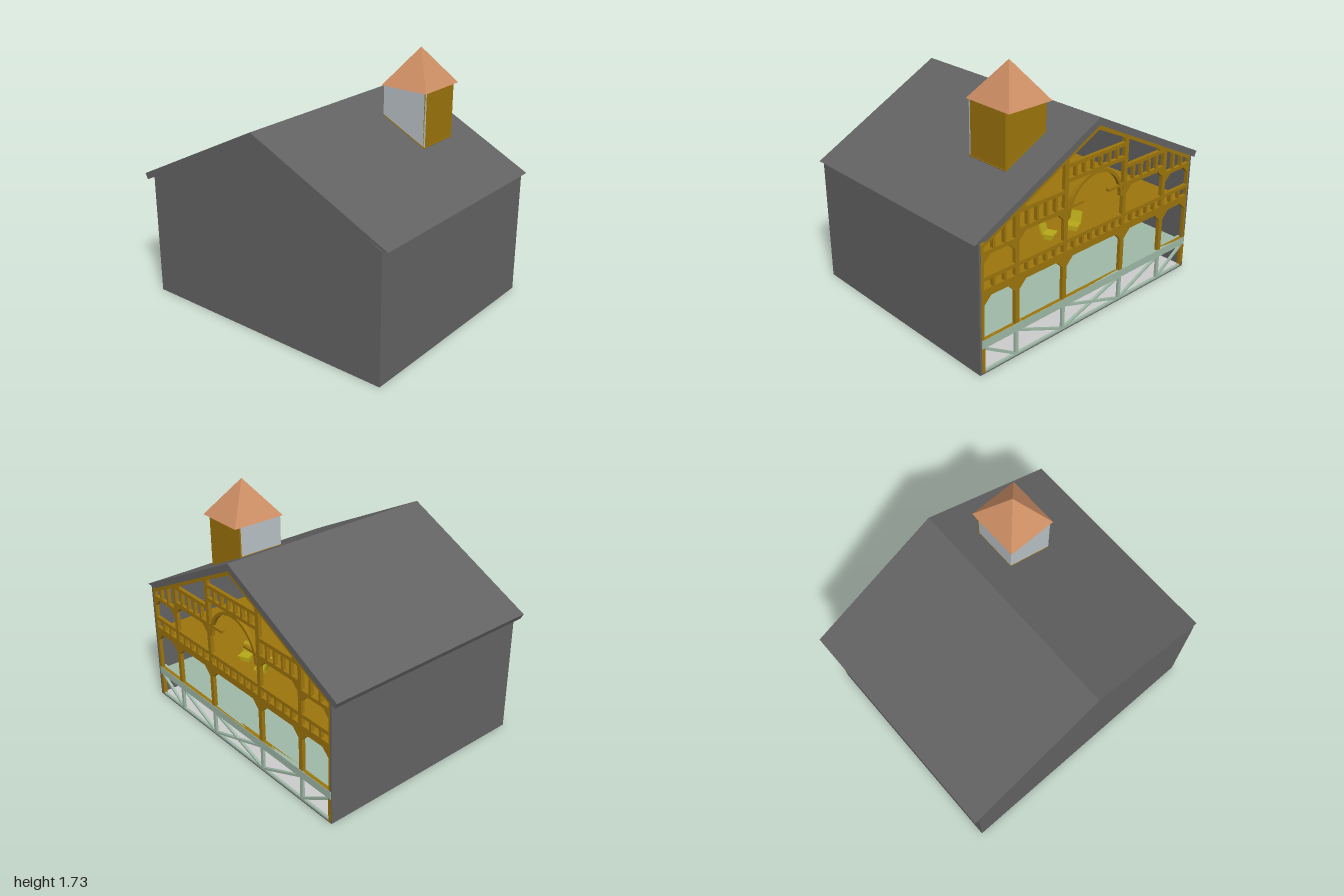
import * as THREE from 'three';

const mat = (color) => new THREE.MeshStandardMaterial({ color, flatShading: true, side: THREE.DoubleSide });
const GREY = mat(0x626262), PALE = mat(0xcccccc), OCHRE = mat(0x9c740c), MINT = mat(0x9db8a6),
  CLAY = mat(0xcc8e64), GLASS = mat(0xb8c0c4), YELLOW = mat(0xb8a818);

// height of the roof underside at x
const under = (x) => 1.335 - 0.5 * Math.abs(x);
const BACK = -0.805;

export function createModel() {
  const model = new THREE.Group();
  const add = (name, geo, material, x = 0, y = 0, z = 0, parent = model) => {
    const m = new THREE.Mesh(geo, material);
    m.name = name;
    m.position.set(x, y, z);
    parent.add(m);
    return m;
  };
  const box = (name, material, x0, x1, y0, y1, z0, z1) =>
    add(name, new THREE.BoxGeometry(x1 - x0, y1 - y0, z1 - z0), material, (x0 + x1) / 2, (y0 + y1) / 2, (z0 + z1) / 2);
  const poly = (pts, Type = THREE.Shape) => new Type(pts.map((p) => new THREE.Vector2(...p)));
  const extrude = (shape, depth) => new THREE.ExtrudeGeometry(shape, { depth, bevelEnabled: false, curveSegments: 12 });

  // solid walls, base and floors
  const gable = [[-0.95, 0], [0.96, 0], [0.96, 0.88], [0, under(0)], [-0.95, under(0.95)]];
  add('frontWall', extrude(poly(gable), 0.015), GREY, 0, 0, 0.762);
  box('rightWall', GREY, -0.95, -0.935, 0, 0.865, BACK, 0.777);
  box('leftWall', GREY, 0.945, 0.96, 0, 0.882, BACK, 0.777);
  box('base', GREY, -0.95, 0.96, 0, 0.008, BACK, 0.777);
  box('groundFloor', PALE, -0.935, 0.945, 0.008, 0.012, BACK + 0.01, 0.762);
  box('lowerFloor', MINT, -0.935, 0.945, 0.195, 0.21, BACK + 0.01, 0.762);
  box('upperFloor', OCHRE, -0.935, 0.945, 0.53, 0.545, BACK + 0.01, 0.762);

  // roof slopes; the left one is trimmed at a slight angle along the front
  add('rightRoof', extrude(poly([[0, 1.38], [-1, 0.88], [-0.98, 0.84], [0, 1.33]]), 1.62), GREY, 0, 0, -0.81);
  const leftRoof = extrude(poly([[0, 1.38], [0, 1.33], [0.9, 0.882], [0.995, 0.882]]), 1.62);
  leftRoof.translate(0, 0, -0.81);
  const pos = leftRoof.attributes.position;
  for (let i = 0; i < pos.count; i++) if (pos.getZ(i) > 0) pos.setZ(i, 0.81 - 0.04 * pos.getX(i));
  leftRoof.computeVertexNormals();
  add('leftRoof', leftRoof, GREY);

  // timber frame of the open back, cut from one gable panel
  const frame = poly([[-0.95, 0.21], [0.95, 0.21], [0.95, under(0.95)], [0, under(0)], [-0.95, under(0.95)]]);
  const hole = (pts) => frame.holes.push(poly(pts, THREE.Path));
  const opening = (a, b, y0, y1, c) =>
    hole([[a, y0], [b, y0], [b, y1 - c], [b - c, y1], [a + c, y1], [a, y1 - c]]);
  const slots = (a, b, y0, y1, gap = 0.018) => {
    const n = Math.max(3, Math.round((b - a) / 0.07)), w = (b - a + gap) / n;
    for (let i = 0; i < n; i++) {
      const l = a + i * w, r = l + w - gap;
      hole([[l, y0], [r, y0], [r, Math.min(y1, under(r) - 0.03)], [l, Math.min(y1, under(l) - 0.03)]]);
    }
  };
  const posts = [-0.94, -0.665, -0.267, 0.267, 0.665, 0.94];
  for (let i = 0; i < 5; i++) {
    const a = posts[i] + 0.016, b = posts[i + 1] - 0.016;
    opening(a, b, 0.235, 0.52, 0.055);
    slots(a, b, 0.57, 0.625);
    if (i === 0 || i === 4) {
      opening(a, b, 0.65, 0.79, 0.05);
      slots(a, b, 0.815, 1);
    } else if (i !== 2) {
      opening(a, b, 0.65, 0.84, 0.05);
      slots(a, b, 0.87, 0.965);
      const s = Math.sign(a), x0 = s * 0.284, x1 = s * 0.6;
      hole([[x0, 0.99], [x1, 0.99], [x1, under(x1) - 0.03], [x0, under(x0) - 0.03]]);
    } else {
      hole([[a, 0.65], [b, 0.65], [b, 1.03], [a, 1.03]]);
      slots(a, b, 1.055, 1.125);
      hole([[a, 1.15], [b, 1.15], [b, under(b) - 0.03], [0, under(0) - 0.035], [a, under(a) - 0.03]]);
    }
  }
  add('timberFrame', extrude(frame, 0.025), OCHRE, 0, 0, BACK);

  // arch and bracket beams in the middle bay
  const ring = new THREE.Shape();
  ring.absarc(0, 0, 0.25, 0, Math.PI, false);
  ring.absarc(0, 0, 0.228, Math.PI, 0, true);
  add('arch', extrude(ring, 0.025), OCHRE, 0, 0.785, BACK);
  for (const s of [-1, 1]) {
    add('bracketBeam', new THREE.BoxGeometry(0.14, 0.018, 0.025), OCHRE, s * 0.185, 0.86, BACK + 0.0125);
    add('cornerPost', new THREE.BoxGeometry(0.03, 0.22, 0.025), OCHRE, s * 0.935, 0.11, BACK + 0.0125);
  }

  // green lattice plinth below the frame
  const bar = (x0, y0, x1, y1, t) => {
    const m = add('latticeBar', new THREE.BoxGeometry(Math.hypot(x1 - x0, y1 - y0), t, 0.018), MINT,
      (x0 + x1) / 2, (y0 + y1) / 2, BACK + 0.01);
    m.rotation.z = Math.atan2(y1 - y0, x1 - x0);
  };
  box('plinthRail', MINT, -0.945, 0.945, 0.18, 0.235, BACK - 0.003, BACK + 0.045);
  bar(-0.94, 0.012, 0.94, 0.012, 0.018);
  for (let i = 0; i < 5; i++) {
    const a = posts[i], b = posts[i + 1];
    if (i > 0) bar(a, 0, a, 0.19, 0.024);
    if (i < 3) bar(a, 0.185, b, 0.015, 0.014);
    if (i > 1) bar(a, 0.015, b, 0.185, 0.014);
  }

  // turret with two glazed and two timber sides
  const x0 = 0.21, x1 = 0.54, z0 = -0.565, z1 = -0.24, top = 1.48;
  const base = (x) => 1.375 - 0.5 * x;
  const side = extrude(poly([[x0, base(x0)], [x1, base(x1)], [x1, top], [x0, top]]), 0.01);
  add('turretFrontPane', side, GLASS, 0, 0, z1 - 0.01);
  add('turretBackWall', side, OCHRE, 0, 0, z0);
  box('turretRightPane', GLASS, x0, x0 + 0.01, base(x0), top, z0 + 0.01, z1 - 0.01);
  box('turretLeftWall', OCHRE, x1 - 0.01, x1, base(x1), top, z0 + 0.01, z1);
  const sill = add('turretSill', new THREE.BoxGeometry(0.372, 0.01, z1 - z0 + 0.004), OCHRE,
    (x0 + x1) / 2, base((x0 + x1) / 2) + 0.006, (z0 + z1) / 2);
  sill.rotation.z = -Math.atan(0.5);
  const cap = new THREE.ConeGeometry(Math.SQRT1_2, 0.25, 4);
  cap.rotateY(Math.PI / 4);
  cap.scale(0.35, 1, 0.38);
  add('turretRoof', cap, CLAY, 0.375, 1.605, -0.415);

  // two small chairs on the upper floor
  const chair = (x, z, turn) => {
    const g = new THREE.Group();
    g.name = 'chair';
    add('seat', new THREE.BoxGeometry(0.08, 0.012, 0.08), YELLOW, 0, 0.035, 0, g);
    add('legs', new THREE.BoxGeometry(0.06, 0.035, 0.05), YELLOW, 0, 0.0175, 0, g);
    add('backrest', new THREE.BoxGeometry(0.08, 0.08, 0.012), YELLOW, 0, 0.07, 0.045, g).rotation.x = 0.3;
    g.position.set(x, 0.545, z);
    g.rotation.y = turn;
    model.add(g);
  };
  chair(0.18, -0.58, 0.4);
  chair(-0.02, -0.6, -1.1);

  return model;
}
